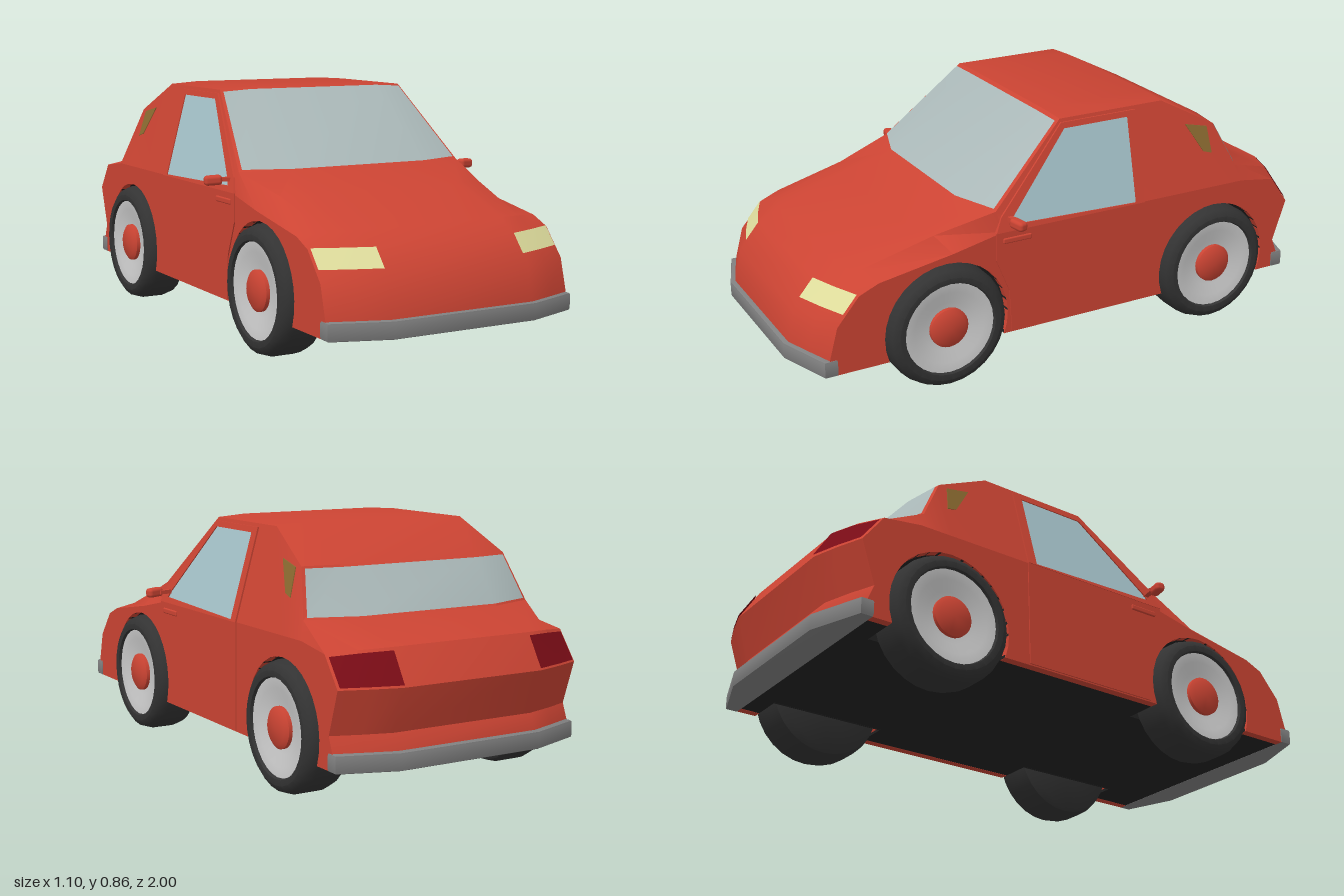
import * as THREE from 'three';
import { toCreasedNormals } from 'three/addons/utils/BufferGeometryUtils.js';
import { RoundedBoxGeometry } from 'three/addons/geometries/RoundedBoxGeometry.js';

const mat = (color) => new THREE.MeshStandardMaterial({ color, side: THREE.DoubleSide });
const RED = mat(0xcc4433), DARK = mat(0x333333), FLOOR = mat(0x222222), GREY = mat(0x808080), RIM = mat(0xcccccc);
const GLASS = mat(0xaab8b8), SIDE_GLASS = mat(0xa6c4cb), HEAD = mat(0xdedc9c), TAIL = mat(0x7a0c16), AMBER = mat(0x8a6a30);
const AXLES = [0.485, -0.6], HUB_Y = 0.22, ARCH = 0.23, SILL = 0.14;

// Body cross-sections, front to back: crown, corner and shoulder point (x, y, z each)
const ROWS = [
  [0.27, 0.14, 0.985, 0.37, 0.14, 0.95, 0.465, 0.14, 0.915],
  [0.27, 0.20, 0.98, 0.37, 0.20, 0.945, 0.465, 0.20, 0.91],
  [0.27, 0.31, 0.955, 0.37, 0.31, 0.92, 0.465, 0.31, 0.88],
  [0.27, 0.405, 0.875, 0.37, 0.405, 0.84, 0.465, 0.405, 0.80],
  [0.27, 0.45, 0.80, 0.37, 0.445, 0.77, 0.465, 0.435, 0.73],
  [0.27, 0.535, 0.55, 0.40, 0.53, 0.50, 0.465, 0.48, 0.46],
  [0.27, 0.59, 0.35, 0.445, 0.59, 0.29, 0.465, 0.52, 0.27],
  [0.27, 0.857, 0.01, 0.375, 0.85, 0.005, 0.465, 0.52, 0],
  [0.27, 0.857, -0.41, 0.375, 0.85, -0.41, 0.465, 0.52, -0.41],
  [0.27, 0.74, -0.64, 0.405, 0.74, -0.62, 0.465, 0.52, -0.60],
  [0.27, 0.58, -0.76, 0.445, 0.58, -0.70, 0.465, 0.52, -0.72],
  [0.27, 0.515, -0.93, 0.37, 0.51, -0.90, 0.465, 0.50, -0.86],
  [0.27, 0.40, -1.0, 0.37, 0.40, -0.97, 0.465, 0.40, -0.935],
  [0.27, 0.25, -0.95, 0.37, 0.25, -0.92, 0.465, 0.25, -0.885],
  [0.27, 0.20, -0.975, 0.37, 0.20, -0.94, 0.465, 0.20, -0.905],
  [0.27, 0.14, -0.98, 0.37, 0.14, -0.945, 0.465, 0.14, -0.91],
].map((r) => [0, 3, 6].map((i) => new THREE.Vector3(r[i], r[i + 1], r[i + 2])));

const flip = (p) => new THREE.Vector3(-p.x, p.y, p.z);
const across = (half) => [...half.map(flip).reverse(), ...half];

// Surface through rows of points; rows run front to back, points from -x to +x
function skin(rows) {
  const n = rows[0].length, index = [];
  for (let i = 0; i < rows.length - 1; i++) {
    for (let j = 0; j < n - 1; j++) {
      const a = i * n + j, d = a + n;
      index.push(a, a + 1, d + 1, a, d + 1, d);
    }
  }
  const g = new THREE.BufferGeometry().setFromPoints(rows.flat());
  g.setIndex(index);
  return toCreasedNormals(g, 0.6);
}

// Points of a line lying between body rows i and i + 1, lifted off the surface
const between = (i, t, lift, shrink = 1) => ROWS[i].map((p, c) => {
  const q = p.clone().lerp(ROWS[i + 1][c], t);
  q.x *= shrink;
  return q.add(lift);
});

// Side plane: upright below the shoulder, leaning inward above it
const sideX = (y) => 0.465 - Math.max(0, y - 0.52) * 0.273;

// Side panel from (z, y) points, between two offsets from the side plane
function sidePanel(s, points, from, to, hole) {
  const path = (pts) => pts.map(([z, y]) => new THREE.Vector2(-s * z, y));
  const shape = new THREE.Shape(path(points));
  if (hole) shape.holes.push(new THREE.Path(path(hole)));
  const g = new THREE.ExtrudeGeometry(shape, { depth: to - from, bevelEnabled: false });
  const p = g.attributes.position;
  for (let i = 0; i < p.count; i++) {
    const y = p.getY(i);
    p.setXYZ(i, s * (sideX(y) + from + p.getZ(i)), y, -s * p.getX(i));
  }
  g.computeVertexNormals();
  return g;
}

// Lower flank outline with both wheel arches cut out
function flankOutline() {
  const pts = ROWS.map((r) => [r[2].z, r[2].y]);
  const dip = Math.asin((HUB_Y - SILL) / ARCH);
  for (const z of [...AXLES].reverse()) {
    for (let i = 0; i <= 20; i++) {
      const a = Math.PI + dip - (i / 20) * (Math.PI + 2 * dip);
      pts.push([z + ARCH * Math.cos(a), HUB_Y + ARCH * Math.sin(a)]);
    }
  }
  return pts;
}

function makeWheel() {
  const wheel = new THREE.Group();
  const turn = (name, pts, material) => {
    const g = new THREE.LatheGeometry(pts.map(([r, h]) => new THREE.Vector2(r, h)), 28);
    const m = new THREE.Mesh(toCreasedNormals(g.rotateZ(-Math.PI / 2), 0.7), material);
    m.name = name;
    wheel.add(m);
  };
  turn('tyre', [[0, 0], [0.185, 0], [0.21, 0.015], [0.22, 0.045], [0.22, 0.125], [0.21, 0.155], [0.188, 0.17], [0.168, 0.168], [0.16, 0.145]], DARK);
  turn('rim', [[0.164, 0.158], [0.13, 0.155], [0.09, 0.142], [0, 0.14]], RIM);
  turn('hubCap', [[0.07, 0.14], [0.07, 0.155], [0.055, 0.165], [0, 0.168]], RED);
  return wheel;
}

export function createModel() {
  const car = new THREE.Group();
  car.name = 'car';
  const add = (name, geometry, material, x = 0, y = 0, z = 0) => {
    const m = new THREE.Mesh(geometry, material);
    m.name = name;
    m.position.set(x, y, z);
    car.add(m);
    return m;
  };
  const V = (x, y, z) => new THREE.Vector3(x, y, z);

  // Shell and front and rear glass
  add('bodyShell', skin(ROWS.map(across)), RED);
  const pane = (name, i, t0, t1, lift) => add(name, skin([t0, t1].map((t) =>
    across(between(i, t, lift, 0.975).slice(0, 2)))), GLASS);
  pane('windshield', 6, 0.01, 0.96, V(0, 0.004, 0.004));
  pane('rearWindow', 9, 0.06, 0.97, V(0, 0.003, -0.005));

  // Floor, narrow between the wheels
  for (const [z0, z1, w] of [[0.70, 0.91, 0.92], [0.27, 0.70, 0.64], [-0.385, 0.27, 0.92], [-0.815, -0.385, 0.64], [-0.91, -0.815, 0.92]]) {
    add('floor', new THREE.BoxGeometry(w, 0.01, z1 - z0), FLOOR, 0, SILL + 0.006, (z0 + z1) / 2);
  }

  // Bumpers wrapping round the corners
  for (const e of [1, -1]) {
    const plan = [[-0.462, 0.89], [-0.462, 0.925], [-0.27, 0.992], [0.27, 0.992], [0.462, 0.925], [0.462, 0.89]];
    const g = new THREE.ExtrudeGeometry(new THREE.Shape(plan.map(([x, z]) => new THREE.Vector2(x, -e * z))),
      { depth: 0.044, bevelThickness: 0.008, bevelSize: 0.006, bevelSegments: 2 });
    add(e > 0 ? 'frontBumper' : 'rearBumper', toCreasedNormals(g.rotateX(-Math.PI / 2), 0.6), GREY, 0, SILL + 0.006, 0);
  }

  const flank = flankOutline();
  const windowLine = [[0.245, 0.54], [0.235, 0.56], [-0.005, 0.818], [-0.262, 0.818], [-0.257, 0.52 + 0.005]];
  for (const s of [1, -1]) {
    const side = s > 0 ? 'left' : 'right';

    // Flank, door and side glass
    add(side + 'Flank', sidePanel(s, flank, -0.03, 0), RED);
    add(side + 'DoorPanel', sidePanel(s, [[0.30, 0.52], [0.30, 0.42], [0.25, 0.30], [0.24, 0.145], [-0.285, 0.145], [-0.292, 0.52]], 0, 0.004), RED);
    add(side + 'WindowFrame', sidePanel(s, [[0.30, 0.52], [0.275, 0.57], [0.005, 0.838], [-0.297, 0.838], [-0.292, 0.52]], -0.01, 0.006, windowLine), RED);
    add(side + 'SideWindow', sidePanel(s, windowLine, -0.006, 0.002), SIDE_GLASS);
    add(side + 'SideMarker', sidePanel(s, [[-0.50, 0.755], [-0.59, 0.735], [-0.60, 0.64], [-0.565, 0.65]], -0.004, 0.003), AMBER);
    add(side + 'DoorHandle', new RoundedBoxGeometry(0.014, 0.02, 0.11, 2, 0.005), RED, s * 0.467, 0.488, 0.22);

    // Mirror on a short stalk
    add(side + 'MirrorStalk', new THREE.BoxGeometry(0.06, 0.014, 0.02), RED, s * 0.475, 0.562, 0.24).rotation.y = s * 0.2;
    const mirror = add(side + 'Mirror', new RoundedBoxGeometry(0.062, 0.034, 0.035, 2, 0.012), RED, s * 0.52, 0.562, 0.245);
    mirror.rotation.set(0, s * 0.25, s * -0.05);

    // Lamps laid over the corners
    const lamp = (name, i, t0, t1, lift, material) => add(side + name, skin([t0, t1].map((t) => {
      const line = between(i, t, lift, 0.985);
      return s > 0 ? line : line.map(flip).reverse();
    })), material);
    lamp('Headlight', 2, 0.37, 1, V(0, 0.004, 0.005), HEAD);
    lamp('TailLight', 11, 0.1, 0.96, V(0, 0.003, -0.005), TAIL);

    // Wheels and wheel wells
    for (const z of AXLES) {
      const wheel = makeWheel();
      wheel.name = side + (z > 0 ? 'FrontWheel' : 'RearWheel');
      wheel.position.set(s * 0.325, HUB_Y, z);
      wheel.rotation.y = s > 0 ? 0 : Math.PI;
      car.add(wheel);
      const well = new THREE.CylinderGeometry(ARCH, ARCH, 0.145, 24, 1, true, 0, Math.PI).rotateZ(Math.PI / 2);
      add('wheelWell', well, FLOOR, s * 0.39, HUB_Y, z);
      add('wheelWellWall', new THREE.BoxGeometry(0.006, 0.28, 0.43), FLOOR, s * 0.318, SILL + 0.14, z);
    }
  }
  return car;
}
